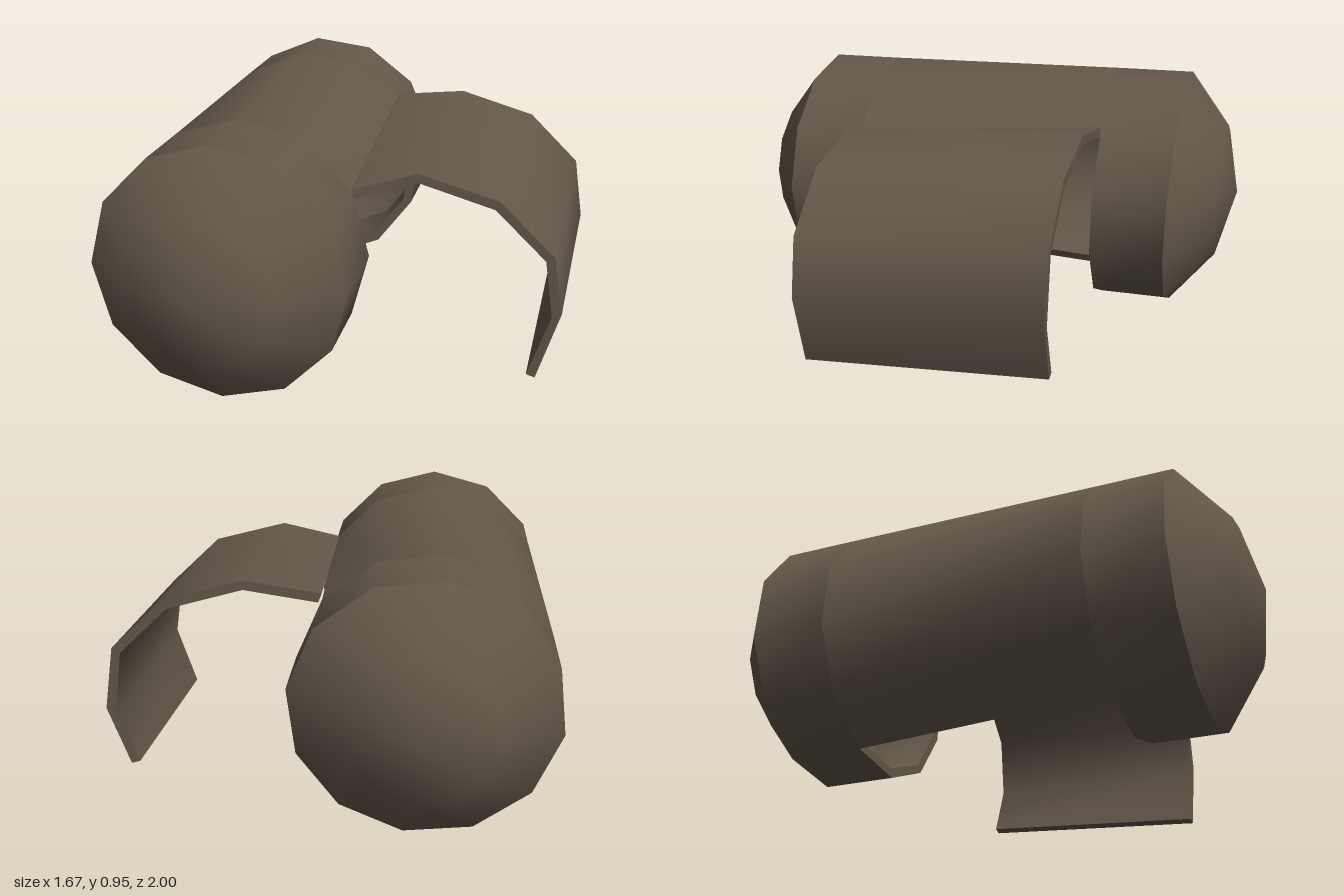
import * as THREE from 'three';
import { toCreasedNormals } from 'three/addons/utils/BufferGeometryUtils.js';

const CX = -0.36, CY = 0.48, R = 0.476, T = 0.036, CUT = 0.488, RING = 0.772;

// Point on the slightly sheared twelve-sided barrel
function barrelPoint(radius, degrees, z) {
  const a = THREE.MathUtils.degToRad(degrees);
  const y = radius * Math.sin(a);
  return new THREE.Vector3(CX + radius * Math.cos(a), CY + y, z - 0.035 * y);
}

// Collects quads and turns them into a geometry with smooth rounds and sharp rims
function geometryFromQuads(quads) {
  const pos = [];
  const tri = (a, b, c) => {
    const area = b.clone().sub(a).cross(c.clone().sub(a)).length();
    if (area > 1e-7) for (const p of [a, b, c]) pos.push(p.x, p.y, p.z);
  };
  for (const [a, b, c, d] of quads) {
    tri(a, b, c);
    tri(a, c, d);
  }
  const geo = new THREE.BufferGeometry();
  geo.setAttribute('position', new THREE.Float32BufferAttribute(pos, 3));
  return toCreasedNormals(geo, 0.72);
}

// Joins neighbouring rows of points with quads
function skin(rows, flip = false) {
  const quads = [];
  for (let i = 0; i < rows.length - 1; i++) {
    for (let j = 0; j < rows[i].length - 1; j++) {
      const q = [rows[i][j], rows[i + 1][j], rows[i + 1][j + 1], rows[i][j + 1]];
      quads.push(flip ? q.reverse() : q);
    }
  }
  return quads;
}

// Curved plate between a front and a back section, each with outer and inner lines
function plate(front, back) {
  const loop = s => [...s.outer, ...[...s.inner].reverse(), s.outer[0]];
  const quads = skin([loop(front), loop(back)]);
  for (let i = 0; i < front.outer.length - 1; i++) {
    quads.push([front.outer[i], front.outer[i + 1], front.inner[i + 1], front.inner[i]]);
    quads.push([back.inner[i], back.inner[i + 1], back.outer[i + 1], back.outer[i]]);
  }
  return geometryFromQuads(quads);
}

// Hollow domed end: outside profile from the tip to the rim, then back inside
function domedEnd(side, twist) {
  const profile = [
    [0, 1], [0.268, 0.938], [R, RING], [R, CUT],
    [R - T, CUT], [R - T, RING - 0.01], [0.245, 0.905], [0, 0.962],
  ];
  const rows = profile.map(([r, z]) =>
    Array.from({ length: 13 }, (_, j) => barrelPoint(r, j * 30 + twist, side * z)));
  return geometryFromQuads(skin(rows, side < 0));
}

// Seven-sided section of the remaining barrel wall
function wallSection(z, twist) {
  const line = r => Array.from({ length: 8 }, (_, j) => barrelPoint(r, 30 + j * 30 + twist, z));
  return { outer: line(R), inner: line(R - T) };
}

// Lid section from the free edge to the hinge
function lidSection(outer, inner, z, hingeZ) {
  const line = pts => pts.map(([x, y], i) =>
    new THREE.Vector3(x, y, i === pts.length - 1 ? hingeZ : z));
  return { outer: line(outer), inner: line(inner) };
}

export function createModel() {
  const group = new THREE.Group();
  const brown = new THREE.MeshStandardMaterial({ color: 0x64584a });
  brown.name = 'dull brown';
  const add = (name, geometry) => {
    const mesh = new THREE.Mesh(geometry, brown);
    mesh.name = name;
    group.add(mesh);
  };

  // Capsule body, twisted a little from front to back
  const twist = 8;
  add('frontEnd', domedEnd(1, 0));
  add('backEnd', domedEnd(-1, twist));
  add('bodyWall', plate(wallSection(CUT, 0), wallSection(-CUT, twist)));

  // Open lid swung out from the upper edge of the opening
  const frontOuter = [[0.733, 0.022], [0.815, 0.295], [0.778, 0.515], [0.575, 0.71], [0.28, 0.79], [0.045, 0.725]];
  const frontInner = [[0.7, 0.032], [0.78, 0.277], [0.747, 0.497], [0.56, 0.677], [0.28, 0.755], [0.058, 0.69]];
  const backOuter = [[0.75, 0.085], [0.832, 0.312], [0.795, 0.555], [0.597, 0.748], [0.3, 0.832], [0.016, 0.797]];
  const backInner = backOuter.map(([x, y], i) =>
    [x + frontInner[i][0] - frontOuter[i][0], y + frontInner[i][1] - frontOuter[i][1]]);
  add('lid', plate(
    lidSection(frontOuter, frontInner, 0.43, 0.475),
    lidSection(backOuter, backInner, -0.49, -0.5)));

  return group;
}
